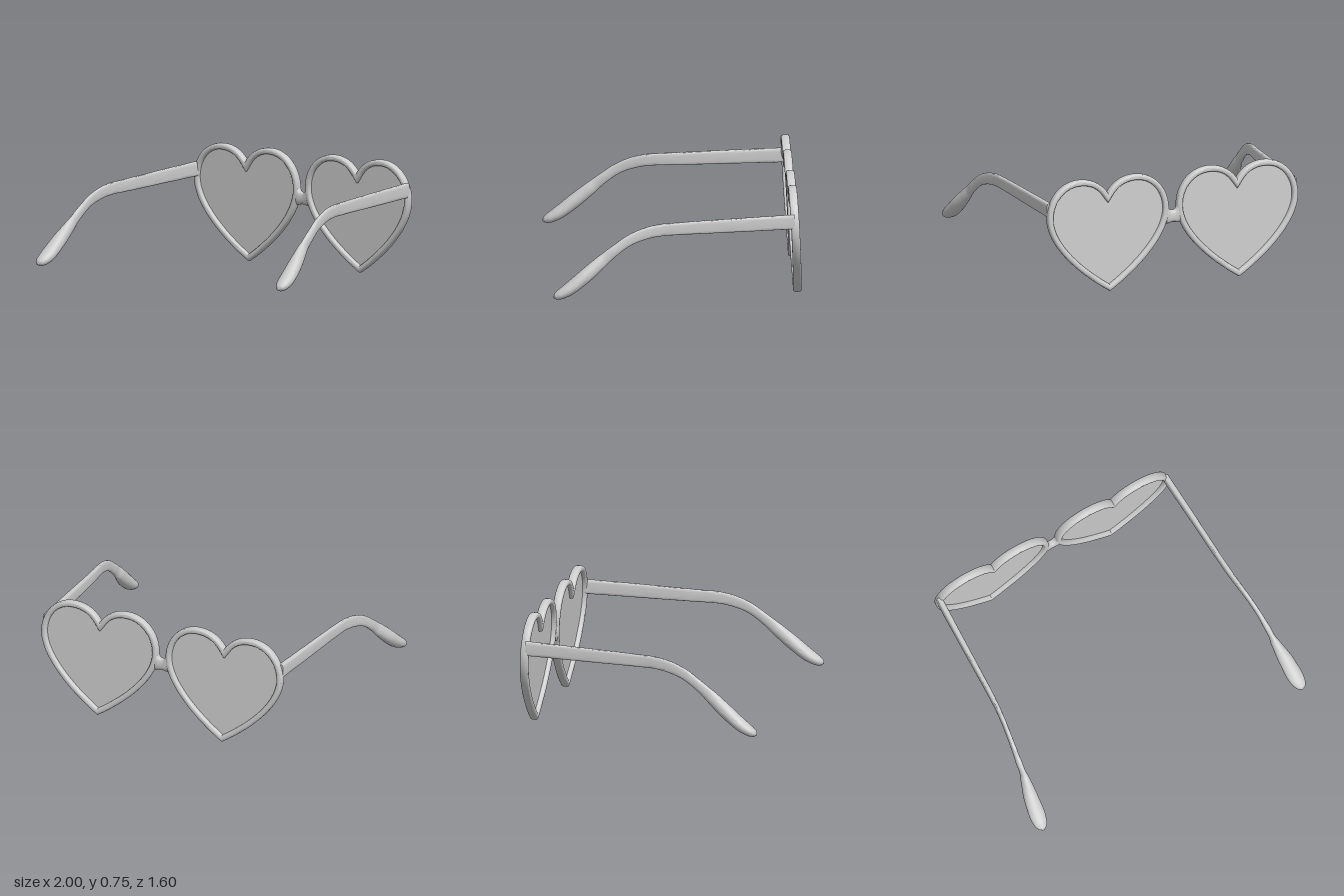
import * as THREE from 'three';
import { toCreasedNormals } from 'three/addons/utils/BufferGeometryUtils.js';

const frameMat = new THREE.MeshStandardMaterial({ color: 0xcccccc });
const lensMat = new THREE.MeshStandardMaterial({ color: 0xcccccc, side: THREE.DoubleSide });

function named(name, geometry, material = frameMat) {
  const mesh = new THREE.Mesh(geometry, material);
  mesh.name = name;
  return mesh;
}

// Closed cross-section: superellipse with half sizes a, b along directions u, v
function section(center, u, v, a, b, power, count = 24) {
  const ring = [];
  for (let j = 0; j < count; j++) {
    const angle = (j / count) * Math.PI * 2;
    const c = Math.cos(angle), s = Math.sin(angle);
    const cu = Math.sign(c) * Math.abs(c) ** (2 / power) * a;
    const sv = Math.sign(s) * Math.abs(s) ** (2 / power) * b;
    ring.push(center.clone().addScaledVector(u, cu).addScaledVector(v, sv));
  }
  return ring;
}

// Skin a list of rings; either joined end to start, or capped at both ends
function loft(rings, loop) {
  const m = rings[0].length, n = rings.length;
  const points = rings.flat();
  const index = [];
  for (let i = 0; i < (loop ? n : n - 1); i++) {
    for (let j = 0; j < m; j++) {
      const k = (j + 1) % m, next = (i + 1) % n;
      const a = i * m + j, b = i * m + k, c = next * m + j, d = next * m + k;
      index.push(a, b, c, b, d, c);
    }
  }
  if (!loop) {
    for (const end of [0, n - 1]) {
      const mid = new THREE.Vector3();
      rings[end].forEach((p) => mid.addScaledVector(p, 1 / m));
      const tip = points.push(mid) - 1;
      for (let j = 0; j < m; j++) {
        const a = end * m + j, b = end * m + ((j + 1) % m);
        if (end === 0) index.push(tip, b, a);
        else index.push(tip, a, b);
      }
    }
  }
  const geometry = new THREE.BufferGeometry().setFromPoints(points);
  geometry.setIndex(index);
  return toCreasedNormals(geometry, 0.85);
}

// Outer heart outline, counter-clockwise from the bottom tip
function heartOutline() {
  const s = new THREE.Shape();
  s.moveTo(0, 0.003);
  s.bezierCurveTo(0.2, 0.13, 0.413, 0.33, 0.413, 0.51);
  s.bezierCurveTo(0.413, 0.645, 0.315, 0.75, 0.19, 0.75);
  s.bezierCurveTo(0.1, 0.75, 0.04, 0.71, 0, 0.65);
  s.bezierCurveTo(-0.04, 0.71, -0.1, 0.75, -0.19, 0.75);
  s.bezierCurveTo(-0.315, 0.75, -0.413, 0.645, -0.413, 0.51);
  s.bezierCurveTo(-0.413, 0.33, -0.2, 0.13, 0, 0.003);
  const pts = s.getPoints(20);
  if (pts[0].distanceTo(pts[pts.length - 1]) < 1e-6) pts.pop();
  return pts;
}

// Mitred outward normals of a closed outline
function mitres(pts) {
  const n = pts.length;
  const edge = pts.map((p, i) => {
    const d = pts[(i + 1) % n].clone().sub(p).normalize();
    return new THREE.Vector2(d.y, -d.x);
  });
  return pts.map((p, i) => {
    const a = edge[(i + n - 1) % n], b = edge[i];
    return a.clone().add(b).divideScalar(1 + a.dot(b));
  });
}

// Heart rim with its lens
function makeEye(name) {
  const eye = new THREE.Group();
  eye.name = name;
  const outline = heartOutline(), normals = mitres(outline);
  const half = 0.019, back = new THREE.Vector3(0, 0, -1);
  const rings = outline.map((p, i) => {
    const u = new THREE.Vector3(normals[i].x, normals[i].y, 0);
    const center = new THREE.Vector3(p.x, p.y, 0).addScaledVector(u, -half);
    return section(center, u, back, half, 0.0275, 3.2);
  });
  eye.add(named('rim', loft(rings, true)));
  const inner = outline.map((p, i) => p.clone().addScaledVector(normals[i], -0.03));
  eye.add(named('lens', new THREE.ShapeGeometry(new THREE.Shape(inner)), lensMat));
  return eye;
}

// Bridge, flaring upward into the rims: x, top, bottom, half depth
function makeBridge() {
  const half = [[0, 0.487, 0.408, 0.024], [0.012, 0.488, 0.407, 0.024], [0.022, 0.495, 0.405, 0.025],
    [0.03, 0.515, 0.402, 0.026], [0.045, 0.54, 0.4, 0.026]];
  const stations = [...half.slice(1).reverse().map(([x, ...r]) => [-x, ...r]), ...half];
  const u = new THREE.Vector3(0, 1, 0), v = new THREE.Vector3(0, 0, 1);
  const rings = stations.map(([x, top, bottom, depth]) =>
    section(new THREE.Vector3(x, (top + bottom) / 2, 0), u, v, (top - bottom) / 2, depth, 2.5));
  return named('bridge', loft(rings, false));
}

// Temple arm: z, y, x, half thickness, half height, section power
const armStations = [
  [-0.74, 0.569, 0.832, 0.019, 0.046, 5],
  [-0.4, 0.556, 0.848, 0.017, 0.044, 4.5],
  [0, 0.54, 0.866, 0.015, 0.04, 4],
  [0.12, 0.534, 0.877, 0.014, 0.039, 3.5],
  [0.22, 0.514, 0.89, 0.014, 0.037, 3],
  [0.32, 0.474, 0.903, 0.015, 0.034, 2.6],
  [0.41, 0.412, 0.913, 0.019, 0.034, 2.2],
  [0.5, 0.338, 0.921, 0.028, 0.041, 2],
  [0.6, 0.252, 0.936, 0.046, 0.045, 2],
  [0.7, 0.172, 0.946, 0.053, 0.041, 2],
  [0.76, 0.136, 0.951, 0.044, 0.032, 2],
  [0.79, 0.123, 0.953, 0.027, 0.02, 2],
  [0.803, 0.118, 0.954, 0.004, 0.003, 2],
];

function makeArm(side, name) {
  const path = new THREE.CatmullRomCurve3(armStations.map(([z, y, x]) => new THREE.Vector3(side * x, y, z)));
  const size = new THREE.CatmullRomCurve3(armStations.map((s) => new THREE.Vector3(s[3], s[4], s[5])));
  const u = new THREE.Vector3(1, 0, 0);
  const rings = [], steps = (armStations.length - 1) * 5;
  for (let i = 0; i <= steps; i++) {
    const t = i / steps, s = size.getPoint(t);
    const v = path.getTangent(t).cross(u).normalize();
    rings.push(section(path.getPoint(t), u, v, Math.max(s.x, 0.002), Math.max(s.y, 0.002), s.z));
  }
  return named(name, loft(rings, false));
}

export function createModel() {
  const model = new THREE.Group();
  model.name = 'heartGlasses';

  // Front frame, leaning slightly so its lower edge sits further back
  const front = new THREE.Group();
  front.name = 'frontFrame';
  for (const [side, name] of [[1, 'leftEye'], [-1, 'rightEye']]) {
    const eye = makeEye(name);
    eye.position.x = side * 0.441;
    front.add(eye);
    model.add(makeArm(side, side > 0 ? 'leftArm' : 'rightArm'));
  }
  front.add(makeBridge());
  front.rotation.x = 0.053;
  front.position.z = -0.7725;
  model.add(front);
  return model;
}
